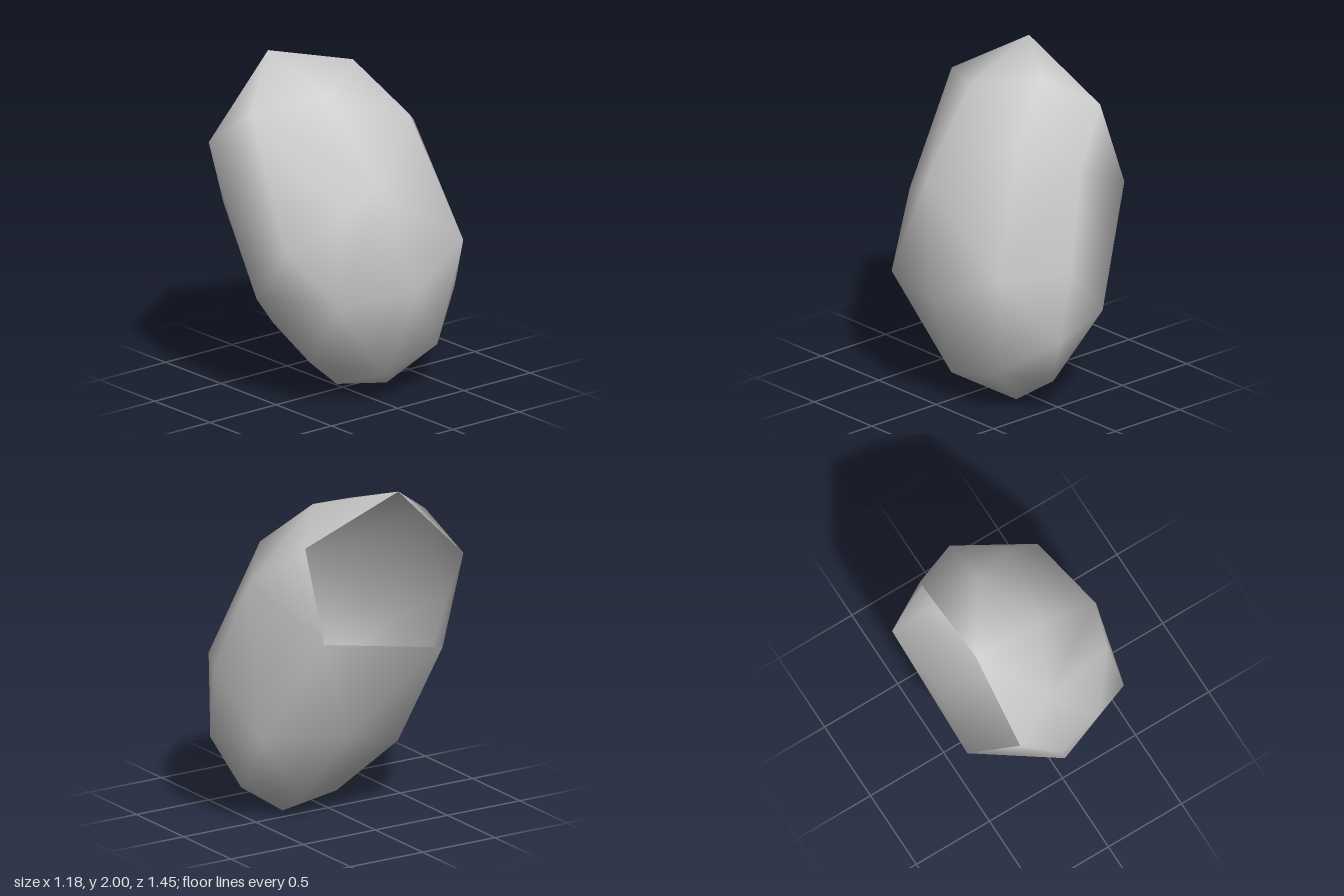
import * as THREE from 'three';
import { mergeVertices } from 'three/addons/utils/BufferGeometryUtils.js';
import { ConvexGeometry } from 'three/addons/geometries/ConvexGeometry.js';

// Five corners of the open pentagon in the shell
const rim = [
  [-0.415, 2, 0.215], [-0.4, 1.54, 0.675], [-0.592, 1.065, 0.405],
  [-0.592, 1.225, -0.415], [-0.4, 1.76, -0.42],
];

// Remaining corners of the faceted egg, from top to bottom
const upper = [
  [-0.145, 1.925, -0.2], [0.07, 1.835, 0.18], [-0.14, 1.76, 0.58],
  [0.17, 1.64, -0.36], [-0.08, 1.485, -0.605], [0.473, 1.365, 0.11],
];
const middle = [
  [0.41, 1.23, 0.33], [-0.16, 1.2, 0.725], [0.19, 1, 0.59],
  [0.1, 0.935, -0.725], [0.47, 0.91, -0.52], [0.59, 0.705, -0.07],
  [0.47, 0.7, 0.42], [-0.05, 0.655, 0.605],
];
const lower = [
  [-0.24, 0.577, -0.62], [-0.43, 0.57, -0.157], [0.17, 0.51, -0.705],
  [-0.22, 0.41, 0.34], [0.39, 0.28, -0.39], [0.17, 0.28, 0.39],
  [0.08, 0.2, -0.55], [0.39, 0.175, -0.01], [-0.07, 0.095, -0.237],
  [0.08, 0.064, 0.11], [0.1, 0, -0.25],
];

// Convex shell through all corners, minus the faces spanning the rim
function openShell() {
  const toVector = (p) => new THREE.Vector3(...p);
  const rimPoints = rim.map(toVector);
  const hull = new ConvexGeometry([...rim, ...upper, ...middle, ...lower].map(toVector));
  const source = hull.getAttribute('position');
  const corner = new THREE.Vector3();
  const kept = [];
  for (let i = 0; i < source.count; i += 3) {
    let onRim = 0;
    const face = [];
    for (let k = 0; k < 3; k++) {
      corner.fromBufferAttribute(source, i + k);
      if (rimPoints.some((p) => p.distanceTo(corner) < 1e-4)) onRim++;
      face.push(corner.x, corner.y, corner.z);
    }
    if (onRim < 3) kept.push(...face);
  }
  const open = new THREE.BufferGeometry();
  open.setAttribute('position', new THREE.Float32BufferAttribute(kept, 3));
  const shell = mergeVertices(open);
  shell.computeVertexNormals();
  return shell;
}

export function createModel() {
  const model = new THREE.Group();
  model.name = 'openRock';
  const stone = new THREE.MeshStandardMaterial({ color: 0xcccccc, side: THREE.DoubleSide });
  stone.name = 'stone grey';
  const shell = new THREE.Mesh(openShell(), stone);
  shell.name = 'shell';
  model.add(shell);
  return model;
}
